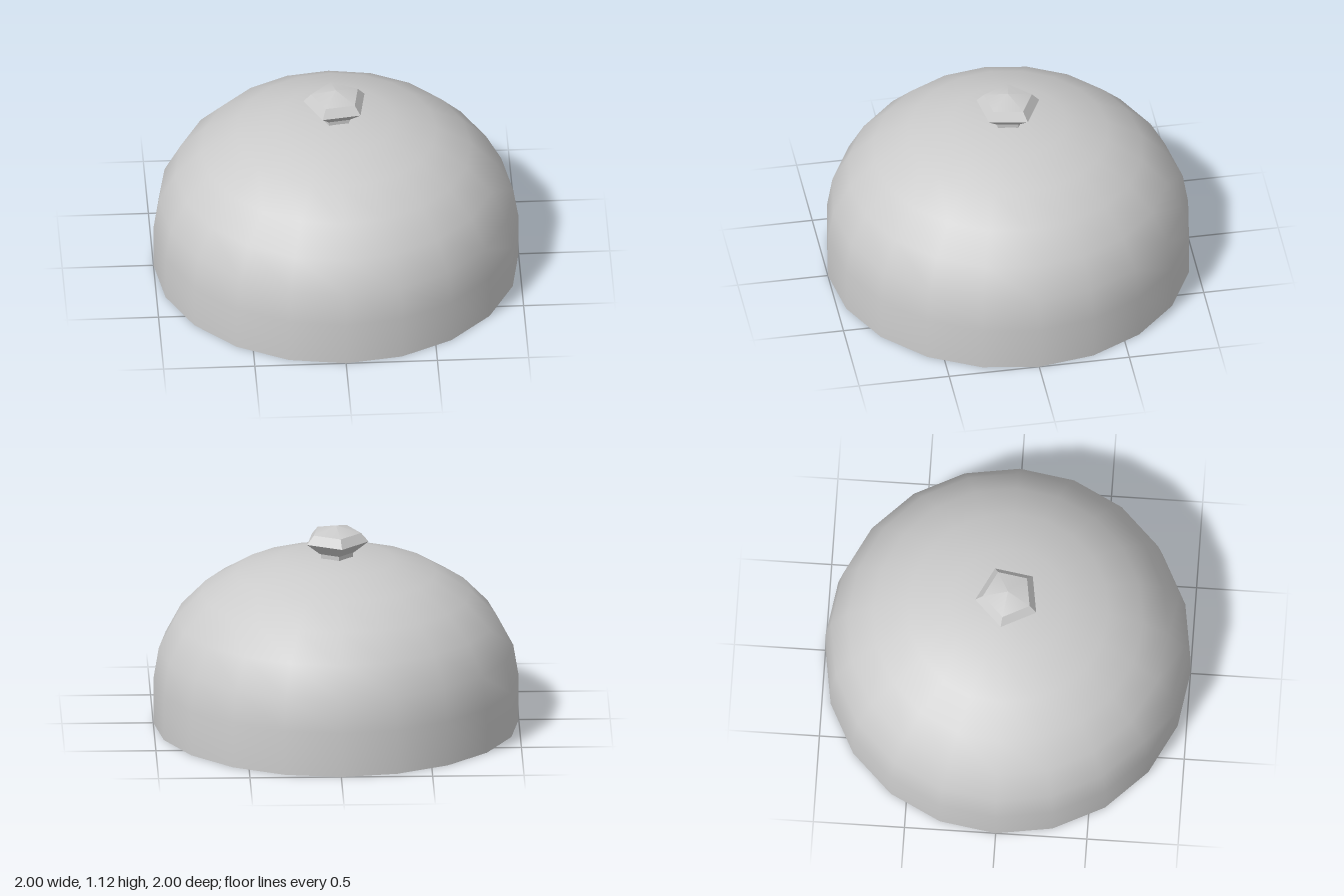
import * as THREE from 'three';
import { toCreasedNormals } from 'three/addons/utils/BufferGeometryUtils.js';

const material = new THREE.MeshStandardMaterial({ color: 0xcccccc });

// Turned part: profile of [radius, height] pairs, with edges sharper than the crease kept hard
function turned(name, profile, sides, start, crease) {
  const points = profile.map(([r, y]) => new THREE.Vector2(r, y));
  const geometry = new THREE.LatheGeometry(points, sides, start);
  const mesh = new THREE.Mesh(toCreasedNormals(geometry, crease), material);
  mesh.name = name;
  return mesh;
}

export function createModel() {
  const group = new THREE.Group();
  group.name = 'domeCover';

  // Hollow dome: thin wall, closed at the lower rim
  const outer = [
    [1, 0], [1, 0.25], [0.97, 0.43], [0.88, 0.6], [0.74, 0.745],
    [0.55, 0.86], [0.32, 0.93], [0, 0.957],
  ];
  const wall = 0.02;
  const inner = outer
    .map(([r, y]) => [r * (1 - wall), y * (1 - wall)])
    .reverse();
  group.add(turned('dome', [...inner, ...outer], 20, 0, 0.7));

  // Five-sided knob on a short neck
  const turn = Math.PI / 4;
  group.add(turned('knobNeck', [[0.095, 0.93], [0.095, 0.98]], 5, turn, 0.6));
  group.add(turned('knob', [
    [0, 0.975], [0.1, 0.975], [0.18, 1.04], [0.138, 1.087], [0, 1.125],
  ], 5, turn, 0.6));

  return group;
}
